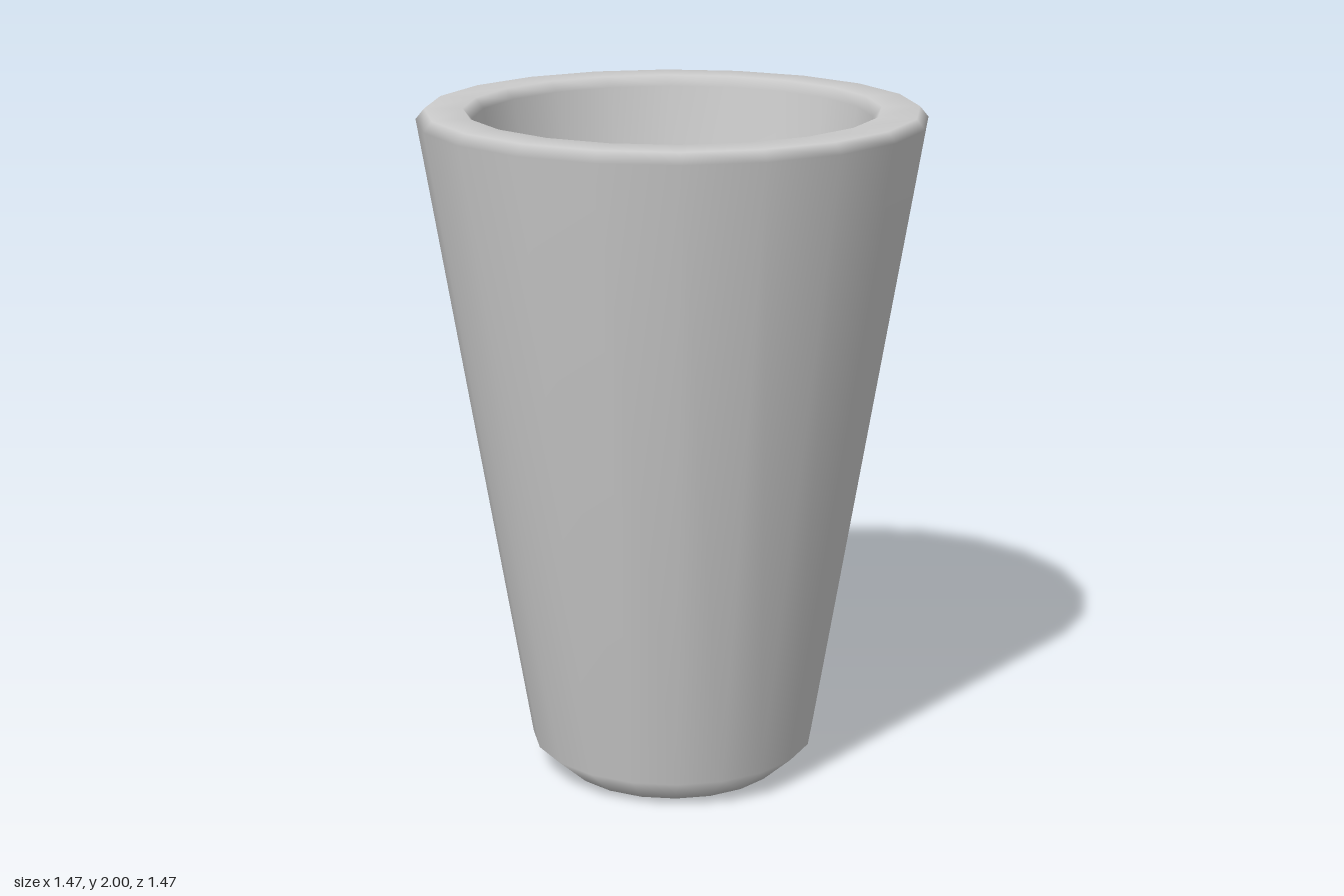
import * as THREE from 'three';

export function createModel() {
  const group = new THREE.Group();
  group.name = 'cup';

  // Closed profile: base centre, outer wall, bevelled rim, inner wall, floor centre
  const profile = [
    [0, 0], [0.33, 0], [0.425, 0.085],
    [0.735, 1.97], [0.71, 2], [0.6, 2], [0.575, 1.97],
    [0.3, 0.15], [0, 0.15],
  ].map(([r, y]) => new THREE.Vector2(r, y));

  const cup = new THREE.Mesh(
    new THREE.LatheGeometry(profile, 20),
    new THREE.MeshStandardMaterial({ color: 0xcccccc }),
  );
  cup.name = 'cupBody';
  group.add(cup);
  return group;
}
